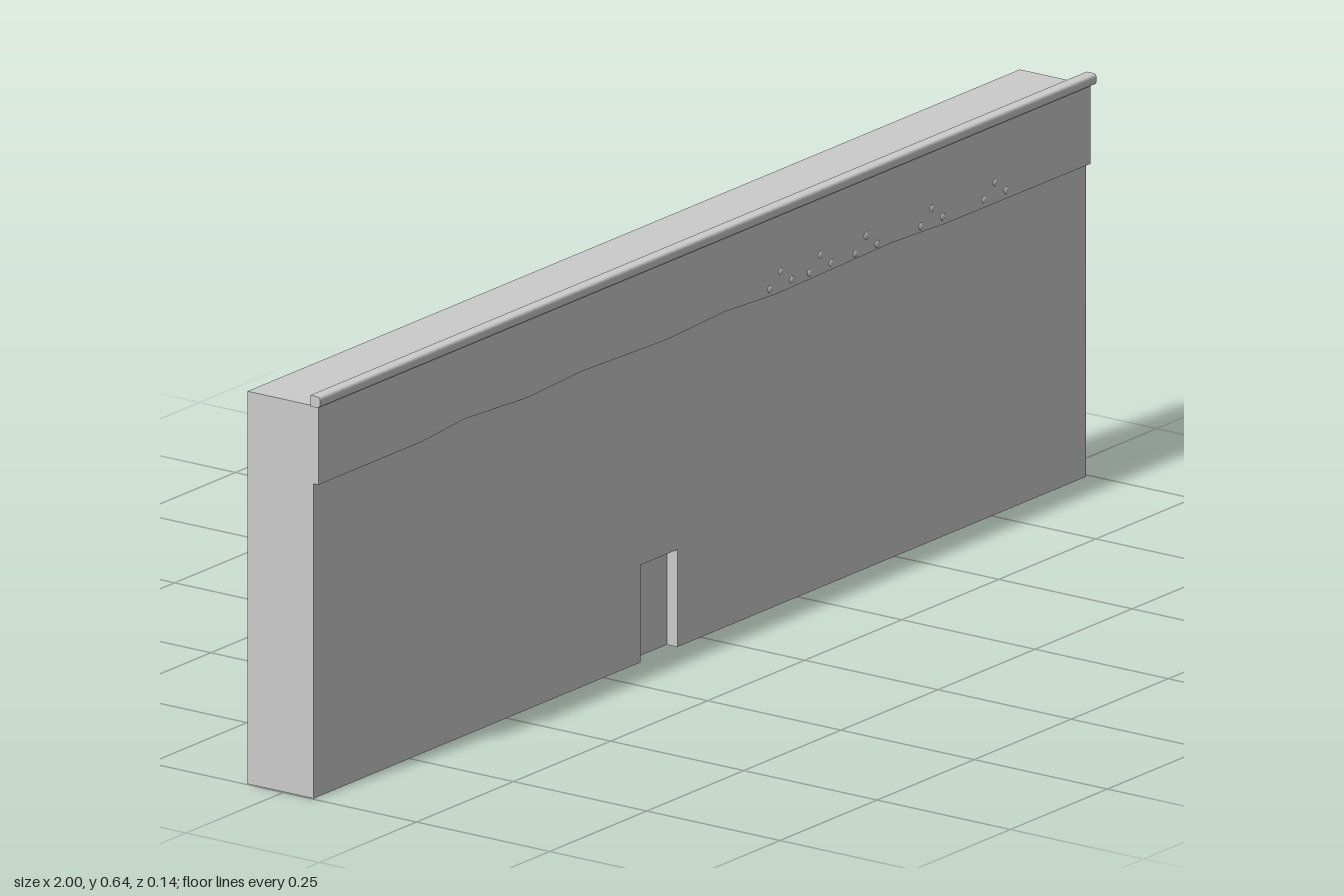
import * as THREE from 'three';

const LEFT = -0.997, RIGHT = 0.992, TOP = 0.625;
const BACK = -0.069, RECESS = 0.035, FRONT = 0.055, BAND = 0.064;

export function createModel() {
  const model = new THREE.Group();
  const material = new THREE.MeshStandardMaterial({ color: 0xcccccc });

  const add = (name, geometry) => {
    const mesh = new THREE.Mesh(geometry, material);
    mesh.name = name;
    model.add(mesh);
    return mesh;
  };
  // Extrudes a front outline from z0 to z1
  const slab = (points, z0, z1) => {
    const shape = new THREE.Shape(points.map(([x, y]) => new THREE.Vector2(x, y)));
    return new THREE.ExtrudeGeometry(shape, { depth: z1 - z0, bevelEnabled: false }).translate(0, 0, z0);
  };

  // Solid wall, with a front layer that leaves a shallow doorway
  add('wallCore', slab([[LEFT, 0], [RIGHT, 0], [RIGHT, TOP], [LEFT, TOP]], BACK, RECESS));
  add('wallFace', slab([
    [LEFT, 0], [-0.155, 0], [-0.155, 0.155], [-0.06, 0.155], [-0.06, 0],
    [RIGHT, 0], [RIGHT, TOP], [LEFT, TOP],
  ], RECESS, FRONT));

  // Raised upper band with a gently uneven lower edge
  const lowerEdge = [
    [LEFT, 0.501], [-0.73, 0.501], [-0.62, 0.509], [-0.46, 0.501], [-0.32, 0.507],
    [-0.1, 0.501], [0.05, 0.507], [0.18, 0.501], [0.48, 0.506], [0.62, 0.501], [RIGHT, 0.5],
  ];
  add('upperBand', slab([...lowerEdge, [RIGHT, TOP], [LEFT, TOP]], FRONT, BAND));

  // Rail along the top, rounded at the front
  const rail = new THREE.Shape();
  rail.moveTo(-0.051, 0.624);
  rail.lineTo(-0.051, 0.642);
  rail.lineTo(-0.063, 0.642);
  rail.quadraticCurveTo(-0.069, 0.642, -0.069, 0.636);
  rail.lineTo(-0.069, 0.631);
  rail.quadraticCurveTo(-0.069, 0.624, -0.062, 0.624);
  rail.closePath();
  add('topRail', new THREE.ExtrudeGeometry(rail, { depth: 2, bevelEnabled: false, curveSegments: 5 })
    .rotateY(Math.PI / 2).translate(-1, 0, 0));

  // Groups of three small low bumps on the band
  const bump = new THREE.SphereGeometry(0.006, 10, 6).scale(1, 1, 0.35);
  for (const x of [0.166, 0.268, 0.386, 0.555, 0.718]) {
    for (const [dx, y] of [[0, 0.513], [0.028, 0.534], [0.056, 0.514]]) {
      add('bandBump', bump).position.set(x + dx, y, BAND);
    }
  }
  return model;
}
